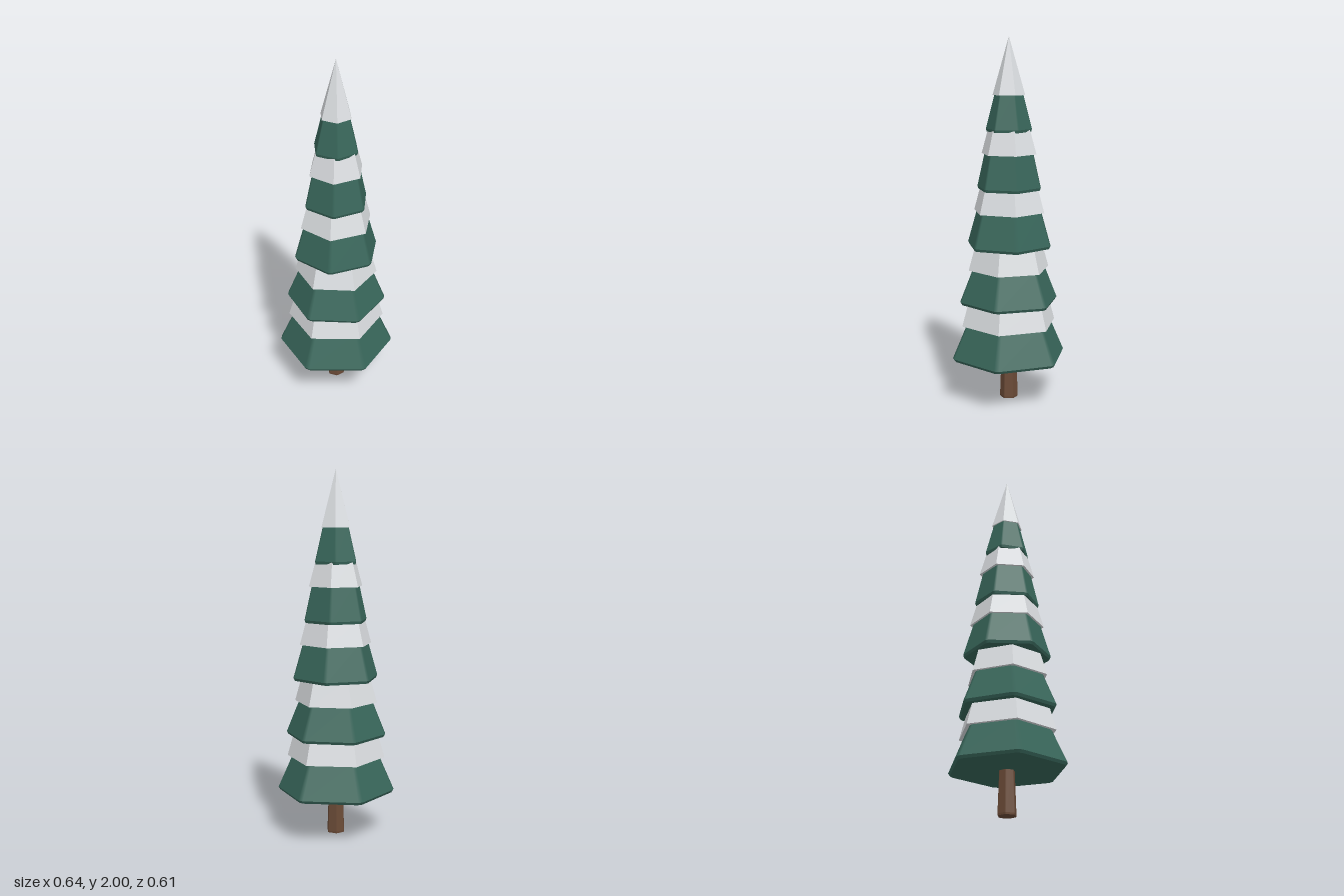
import * as THREE from 'three';

const green = new THREE.MeshStandardMaterial({ color: 0x38665a });
green.name = 'pine green';
const white = new THREE.MeshStandardMaterial({ color: 0xdcdfe2, flatShading: true });
white.name = 'snow white';
const brown = new THREE.MeshStandardMaterial({ color: 0x6b4b37 });
brown.name = 'bark brown';

const rad = THREE.MathUtils.degToRad;

// Hexagonal solid with softened corners: flat sides, rounded shading on the narrow corner strips.
// profile: [radius, y] points from bottom to top; angle: direction of one corner, from +x towards +z.
function softHexagon(profile, angle, halfCorner) {
  const pos = [], nor = [], idx = [];
  for (let b = 0; b < profile.length - 1; b++) {
    const [r0, y0] = profile[b], [r1, y1] = profile[b + 1];
    const start = pos.length / 3;
    for (let i = 0; i <= 12; i++) {
      const side = i % 2 ? 1 : -1;
      const corner = angle + 60 * Math.floor(i / 2);
      const a = rad(corner + side * halfCorner), f = rad(corner + side * 30);
      const n = new THREE.Vector3(Math.cos(f) * (y1 - y0), (r0 - r1) * 0.89, Math.sin(f) * (y1 - y0)).normalize();
      for (const [r, y] of [[r0, y0], [r1, y1]]) {
        pos.push(r * Math.cos(a), y, r * Math.sin(a));
        nor.push(n.x, n.y, n.z);
      }
    }
    for (let i = 0; i < 12; i++) {
      const k = start + i * 2;
      if (r0 > 0) idx.push(k, k + 1, k + 2);
      if (r1 > 0) idx.push(k + 1, k + 3, k + 2);
      if (r0 === 0) idx.push(k, k + 1, k + 3);
    }
  }
  const g = new THREE.BufferGeometry();
  g.setAttribute('position', new THREE.Float32BufferAttribute(pos, 3));
  g.setAttribute('normal', new THREE.Float32BufferAttribute(nor, 3));
  g.setIndex(idx);
  return g;
}

// Solid with a small bevel round its lower edge
function bevelled(bottom, top, rBottom, rTop, bevel, angle, halfCorner) {
  return softHexagon([[0, bottom], [rBottom * 0.97, bottom], [rBottom, bottom + bevel],
    [rTop, top], [0, top]], angle, halfCorner);
}

export function createModel() {
  const tree = new THREE.Group();
  tree.name = 'snowyPineTree';
  const add = (name, geometry, material) => {
    const mesh = new THREE.Mesh(geometry, material);
    mesh.name = name;
    tree.add(mesh);
    return mesh;
  };

  // Trunk
  add('trunk', bevelled(0, 0.26, 0.05, 0.041, 0.01, 30, 5), brown);

  // Tiers: corner angle, green base y, base radius, radius under the snow, snow base y, snow radius
  const tiers = [
    [10, 0.235, 0.321, 0.238, 0.43, 0.27],
    [13, 0.55, 0.274, 0.2, 0.74, 0.228],
    [-12, 0.865, 0.237, 0.182, 1.06, 0.203],
    [-16, 1.18, 0.177, 0.134, 1.375, 0.154],
    [-25, 1.495, 0.124, 0.076, 1.69, 0.088],
  ];
  tiers.forEach(([angle, y, r, rTop, snowY, snowR], i) => {
    add('branches' + (i + 1), bevelled(y, snowY + 0.01, r, rTop, 0.015, angle, 2.6), green);

    // Snow skirt running up into the next tier; the last one is a full cone
    const last = i === tiers.length - 1;
    const snowTop = last ? 2 : tiers[i + 1][1] + 0.02;
    const h = snowTop - snowY;
    const cone = new THREE.CylinderGeometry(last ? 0 : snowR - 0.28 * h, snowR, h, 6, 1, false, rad(90 - angle));
    add(last ? 'snowTip' : 'snow' + (i + 1), cone, white).position.y = snowY + h / 2;
  });

  return tree;
}
